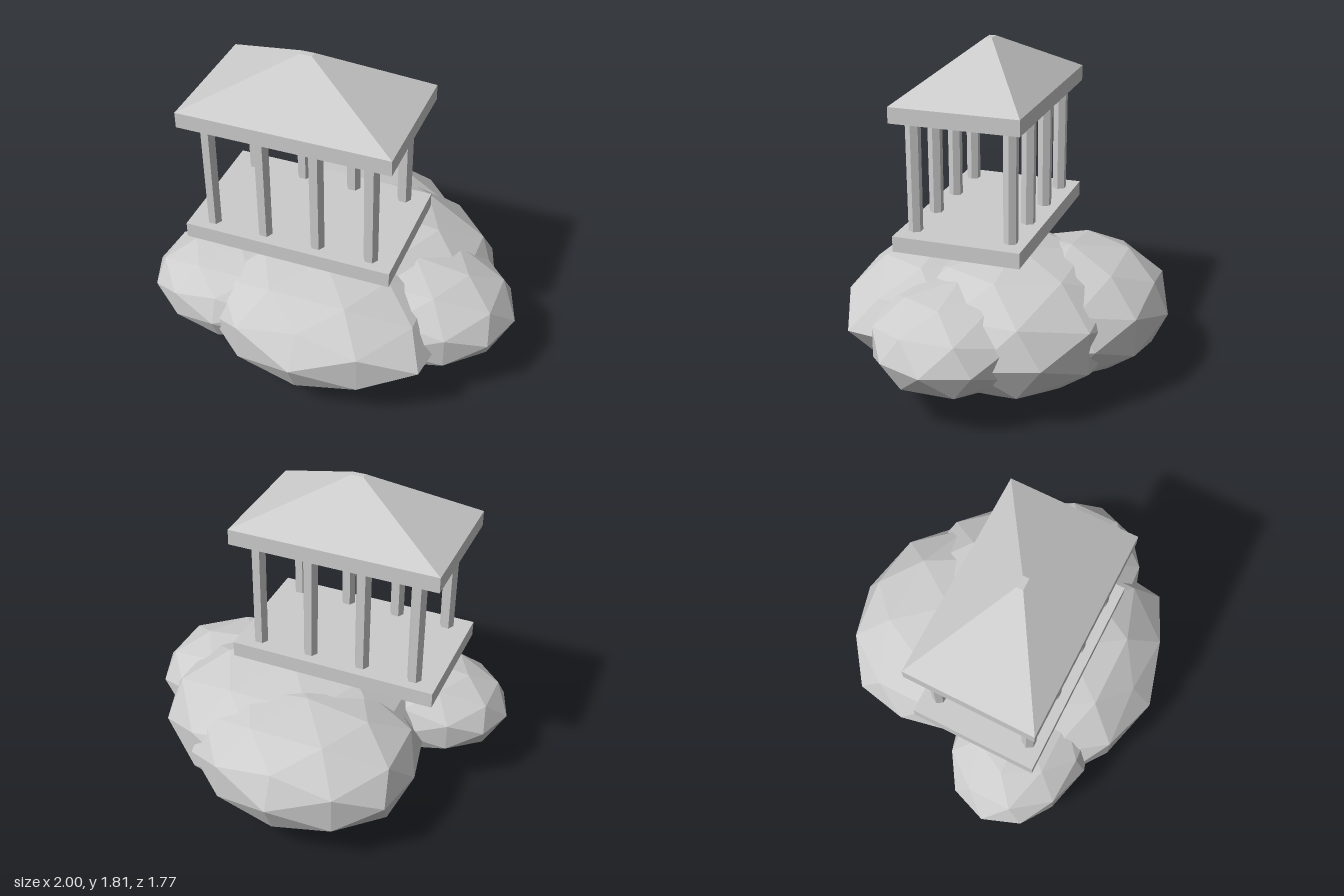
import * as THREE from 'three';

const stone = new THREE.MeshStandardMaterial({ color: 0xcccccc, flatShading: true });
stone.name = 'pale grey';

// Flattened faceted cloud puff; bumps are [direction, radial scale] for single corners
function puff(name, centre, radii, bumps = []) {
  const geo = new THREE.IcosahedronGeometry(1, 1);
  const pos = geo.attributes.position;
  const v = new THREE.Vector3();
  for (let i = 0; i < pos.count; i++) {
    v.fromBufferAttribute(pos, i);
    const bump = bumps.find(([d]) => v.distanceTo(new THREE.Vector3(...d)) < 0.05);
    if (bump) v.multiplyScalar(bump[1]);
    pos.setXYZ(i, v.x, v.y, v.z);
  }
  geo.scale(...radii);
  geo.computeVertexNormals();
  const mesh = new THREE.Mesh(geo, stone);
  mesh.name = name;
  mesh.position.set(...centre);
  return mesh;
}

// Hipped roof: a box whose top is drawn in to a small flat cap
function roofGeometry(w, h, d, topW, topD) {
  const geo = new THREE.BoxGeometry(w, h, d).toNonIndexed();
  const pos = geo.attributes.position;
  for (let i = 0; i < pos.count; i++) {
    if (pos.getY(i) > 0) {
      pos.setX(i, Math.sign(pos.getX(i)) * topW / 2);
      pos.setZ(i, Math.sign(pos.getZ(i)) * topD / 2);
    }
  }
  geo.computeVertexNormals();
  return geo;
}

export function createModel() {
  const model = new THREE.Group();
  model.name = 'cloudTemple';

  // Cloud
  const cloud = new THREE.Group();
  cloud.name = 'cloud';
  cloud.add(
    puff('middlePuff', [0.11, 0.378, -0.1], [0.73, 0.378, 0.62]),
    puff('frontPuff', [0.01, 0.38, 0.353], [0.67, 0.335, 0.53],
      [[[0.851, 0, 0.526], 1.1], [[0, 0.526, 0.851], 0.91]]),
    puff('backPuff', [-0.085, 0.385, -0.343], [0.65, 0.335, 0.545], [[[-1, 0, 0], 0.94]]),
    puff('rightPuff', [-0.5, 0.39, 0.33], [0.5, 0.25, 0.385]),
    puff('leftPuff', [0.43, 0.385, 0.11], [0.57, 0.28, 0.46]),
  );
  model.add(cloud);

  // Temple
  const temple = new THREE.Group();
  temple.name = 'temple';
  temple.position.set(-0.155, 0, 0.142);
  const add = (name, geo, x, y, z) => {
    const mesh = new THREE.Mesh(geo, stone);
    mesh.name = name;
    mesh.position.set(x, y, z);
    temple.add(mesh);
    return mesh;
  };
  const slab = new THREE.BoxGeometry(1.13, 0.086, 0.7);
  add('floorSlab', slab, 0, 0.805, 0);
  add('roofSlab', slab, 0, 1.506, 0);
  add('roof', roofGeometry(1.13, 0.262, 0.7, 0.065, 0.035), 0, 1.68, 0);

  // Two rows of four six-sided columns
  const column = new THREE.CylinderGeometry(0.041, 0.039, 0.63, 6, 1, false, Math.PI / 6);
  for (const z of [-0.262, 0.268]) {
    for (let i = 0; i < 4; i++) add('column', column, -0.437 + i * 0.292, 1.155, z);
  }
  model.add(temple);
  return model;
}
